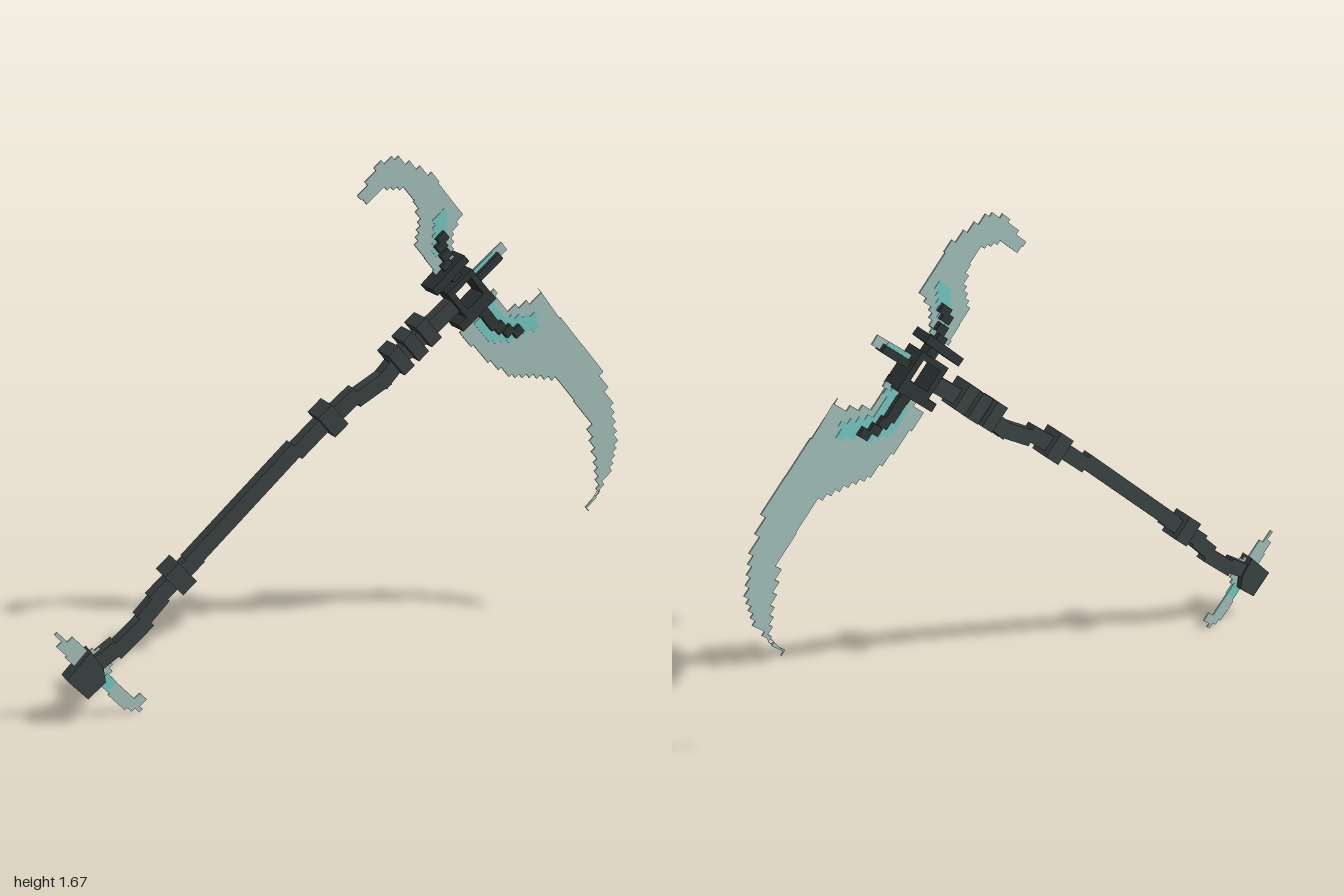
import * as THREE from 'three';

const TILT = THREE.MathUtils.degToRad(40);
const C = Math.cos(TILT), S = Math.sin(TILT);

const mat = (name, color) => {
  const m = new THREE.MeshStandardMaterial({ color });
  m.name = name;
  return m;
};

// Turns a smooth outline into a staircase on a grid tilted like the shaft
function stepped(points, step) {
  const local = points.map(([x, y]) => [x * C + y * S, y * C - x * S]);
  const out = [];
  local.forEach(([a, b], i) => {
    const [a2, b2] = local[(i + 1) % local.length];
    const da = a2 - a, db = b2 - b;
    const n = Math.max(1, Math.round(Math.min(Math.abs(da), Math.abs(db)) / step));
    for (let k = 0; k < n; k++) {
      const pa = a + (da * k) / n, pb = b + (db * k) / n;
      out.push([pa, pb], [pa + da / n, pb]);
    }
  });
  return out.map(([a, b]) => new THREE.Vector2(a * C - b * S, a * S + b * C));
}

function extrude(shape, depth) {
  const g = new THREE.ExtrudeGeometry(shape, { depth, bevelEnabled: false });
  g.translate(0, 0, -depth / 2);
  return g;
}

export function createModel() {
  const root = new THREE.Group();
  root.name = 'scythe';
  const shaftMat = mat('charcoal', 0x3c4444);
  const headMat = mat('dark iron', 0x303636);
  const bladeMat = mat('pale teal', 0xa6c4be);
  const glowMat = mat('bright teal', 0x78cdc7);

  const add = (name, geometry, material) => {
    const m = new THREE.Mesh(geometry, material);
    m.name = name;
    root.add(m);
    return m;
  };
  // Box running between two points in the xy plane
  const beam = (name, [x1, y1, x2, y2], width, depth, material) => {
    const len = Math.hypot(x2 - x1, y2 - y1);
    const m = add(name, new THREE.BoxGeometry(len, width, depth), material);
    m.position.set((x1 + x2) / 2, (y1 + y2) / 2, 0);
    m.rotation.z = Math.atan2(y2 - y1, x2 - x1);
  };
  // Tilted block centred on a point
  const block = (name, x, y, len, width, depth, material) => {
    const m = add(name, new THREE.BoxGeometry(len, width, depth), material);
    m.position.set(x, y, 0);
    m.rotation.z = TILT;
  };
  const plate = (name, points, depth, material, step = 0.017) =>
    add(name, extrude(new THREE.Shape(stepped(points, step)), depth), material);

  // Shaft, made of slightly offset lengths
  [
    [-0.88, 0.185, -0.8, 0.235], [-0.81, 0.215, -0.7, 0.305],
    [-0.72, 0.305, -0.65, 0.375], [-0.68, 0.36, -0.61, 0.42],
    [-0.6, 0.425, -0.53, 0.485], [-0.56, 0.465, -0.2, 0.785],
    [-0.2, 0.77, -0.1, 0.855], [-0.1, 0.85, 0.01, 0.935],
    [0.005, 0.915, 0.115, 0.975], [0.09, 0.955, 0.17, 1.04],
    [0.13, 1.01, 0.36, 1.19],
  ].forEach((p) => beam('shaftSegment', p, 0.052, 0.04, shaftMat));

  // Collars
  [[-0.6, 0.43, 0.06], [-0.085, 0.865, 0.06], [0.15, 1.03, 0.045],
    [0.2, 1.07, 0.045], [0.245, 1.11, 0.045]]
    .forEach(([x, y, len]) => block('collar', x, y, len, 0.09, 0.08, shaftMat));

  // Pommel
  const pommel = [[-0.97, 0.16], [-0.906, 0.085], [-0.847, 0.13], [-0.853, 0.18], [-0.89, 0.24]];
  add('pommel', extrude(new THREE.Shape(pommel.map((p) => new THREE.Vector2(...p))), 0.052), shaftMat);

  // Open square hub
  const square = (path, s) => path.moveTo(-s, -s).lineTo(s, -s).lineTo(s, s).lineTo(-s, s).closePath();
  const hubShape = square(new THREE.Shape(), 0.056);
  hubShape.holes.push(square(new THREE.Path(), 0.036));
  const hub = add('hub', extrude(hubShape, 0.08), headMat);
  hub.position.set(0.387, 1.22, 0);
  hub.rotation.z = TILT;

  // Guard bars either side of the hub
  beam('upperGuard', [0.265, 1.235, 0.375, 1.335], 0.028, 0.08, headMat);
  beam('lowerGuard', [0.36, 1.11, 0.475, 1.205], 0.028, 0.08, headMat);

  // Stepped claws gripping the blades
  [[0.35, 1.275], [0.325, 1.305], [0.315, 1.345], [0.298, 1.375], [0.302, 1.4]]
    .forEach(([x, y], i) => block('upperClaw', x, y, 0.036, i < 2 ? 0.045 : 0.028, 0.04, headMat));
  [[0.44, 1.16], [0.465, 1.135], [0.485, 1.11], [0.515, 1.09], [0.545, 1.075], [0.58, 1.07]]
    .forEach(([x, y], i) => block('lowerClaw', x, y, 0.036, i < 3 ? 0.045 : 0.03, 0.04, headMat));

  // Spike on the far side of the hub
  beam('spikeBase', [0.42, 1.25, 0.51, 1.325], 0.025, 0.04, headMat);
  beam('spikeBlade', [0.42, 1.265, 0.53, 1.352], 0.034, 0.006, bladeMat);
  beam('spikeGlow', [0.425, 1.268, 0.495, 1.325], 0.03, 0.009, glowMat);

  // Main blade
  plate('mainBlade', [
    [0.395, 1.13], [0.51, 1.2], [0.55, 1.135], [0.63, 1.15], [0.66, 1.2], [0.745, 1.09],
    [0.835, 0.99], [0.92, 0.89], [0.965, 0.775], [0.99, 0.64], [0.97, 0.535], [0.885, 0.405],
    [0.87, 0.42], [0.91, 0.48], [0.895, 0.575], [0.865, 0.695], [0.81, 0.8], [0.735, 0.895],
    [0.65, 0.915], [0.57, 0.925], [0.49, 0.98], [0.425, 1.04], [0.375, 1.085],
  ], 0.006, bladeMat);
  plate('mainBladeGlow', [
    [0.46, 1.185], [0.51, 1.178], [0.545, 1.11], [0.66, 1.11], [0.67, 1.075],
    [0.6, 1.065], [0.57, 1.04], [0.49, 1.05], [0.425, 1.11],
  ], 0.009, glowMat);

  // Rear blade
  plate('rearBlade', [
    [0.015, 1.555], [0.04, 1.595], [0.07, 1.635], [0.14, 1.655], [0.215, 1.62], [0.295, 1.575],
    [0.33, 1.525], [0.38, 1.465], [0.35, 1.405], [0.35, 1.335], [0.275, 1.295], [0.245, 1.34],
    [0.21, 1.385], [0.22, 1.455], [0.205, 1.52], [0.17, 1.57], [0.105, 1.575], [0.03, 1.545],
  ], 0.006, bladeMat);
  plate('rearBladeGlow', [
    [0.305, 1.485], [0.33, 1.47], [0.325, 1.38], [0.3, 1.35], [0.27, 1.36], [0.27, 1.455],
  ], 0.009, glowMat);

  // Small blade across the pommel
  plate('pommelBlade', [
    [-0.995, 0.305], [-0.955, 0.275], [-0.89, 0.23], [-0.85, 0.23], [-0.815, 0.175],
    [-0.82, 0.13], [-0.75, 0.045], [-0.71, 0.035], [-0.725, 0.005], [-0.775, 0.02],
    [-0.835, 0.075], [-0.865, 0.12], [-0.945, 0.2], [-0.965, 0.225], [-0.99, 0.265],
  ], 0.006, bladeMat);
  block('pommelGlow', -0.835, 0.118, 0.04, 0.045, 0.009, glowMat);

  return root;
}
